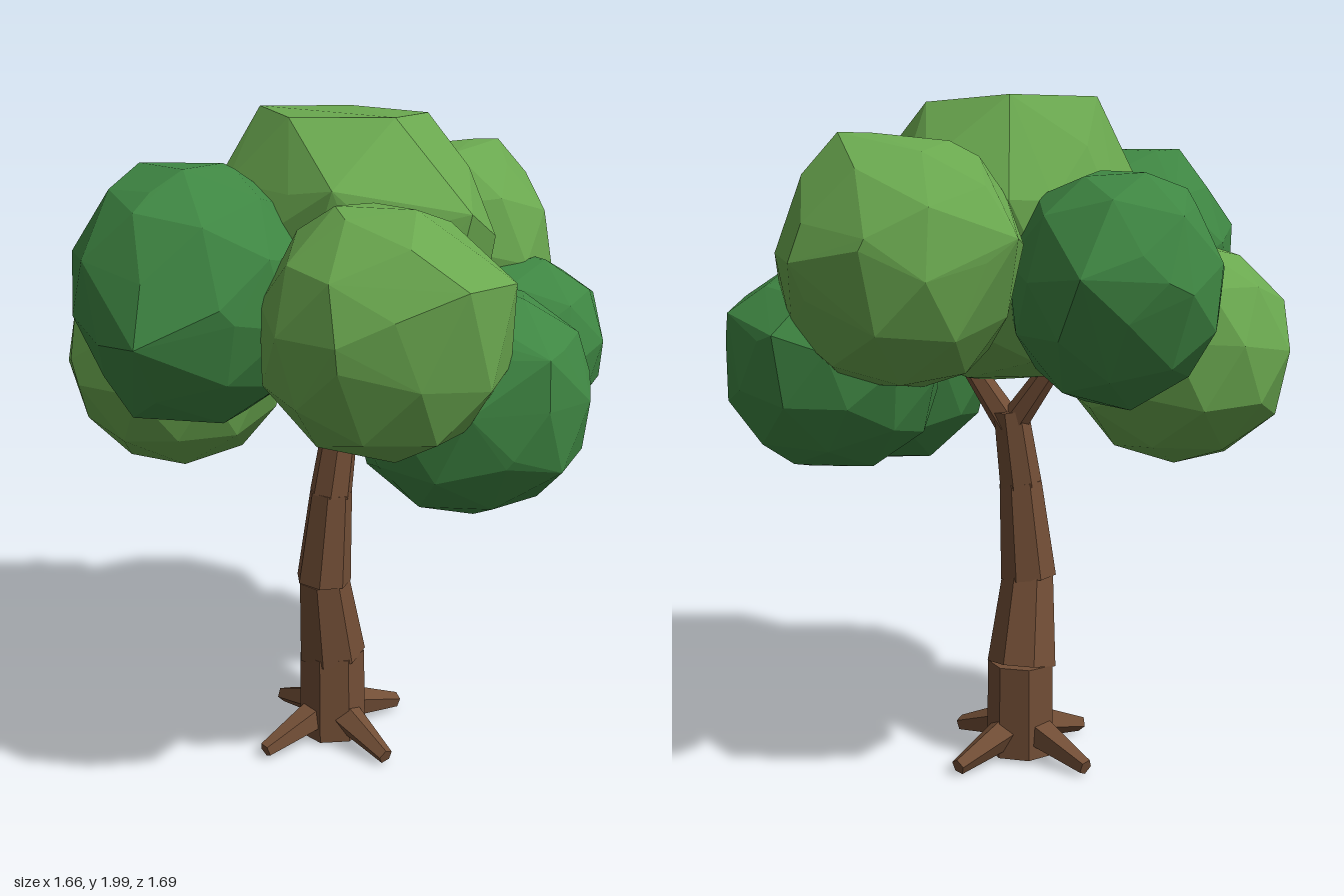
import * as THREE from 'three';
import { mergeVertices } from 'three/addons/utils/BufferGeometryUtils.js';
import { ConvexGeometry } from 'three/addons/geometries/ConvexGeometry.js';

// small seeded random generator
function seeded(seed) {
  let s = seed * 7919 + 17;
  return () => ((s = (s * 16807) % 2147483647) / 2147483647);
}

// faceted leaf clump: hull of a full ellipsoid, trimmed to its half sizes, and a few outer corners
function clump(name, material, centre, half, corners, seed) {
  const rand = seeded(seed);
  for (let i = 0; i < 5; i++) rand();
  const mid = new THREE.Vector3(...centre);
  const size = new THREE.Vector3(...half);
  const low = size.clone().negate();
  const turn = new THREE.Euler(rand() * 6, rand() * 6, rand() * 6);
  const ball = new THREE.IcosahedronGeometry(1, 1);
  ball.deleteAttribute('normal');
  ball.deleteAttribute('uv');
  const pos = mergeVertices(ball, 1e-4).attributes.position;
  const points = corners.map((c) => new THREE.Vector3(...c).sub(mid));
  for (let i = 0; i < pos.count; i++) {
    points.push(new THREE.Vector3().fromBufferAttribute(pos, i)
      .applyEuler(turn).multiply(size).multiplyScalar(1.0 + rand() * 0.06).clamp(low, size));
  }
  const mesh = new THREE.Mesh(new ConvexGeometry(points), material);
  mesh.name = name;
  mesh.position.copy(mid);
  return mesh;
}

// tapered limb between two points
function limb(name, a, b, rA, rB, sides, material, twist = 0) {
  const from = new THREE.Vector3(...a);
  const dir = new THREE.Vector3(...b).sub(from);
  const geo = new THREE.CylinderGeometry(rB, rA, dir.length(), sides);
  geo.rotateY(twist);
  const mesh = new THREE.Mesh(geo, material);
  mesh.name = name;
  mesh.position.copy(from).addScaledVector(dir, 0.5);
  mesh.quaternion.setFromUnitVectors(new THREE.Vector3(0, 1, 0), dir.normalize());
  return mesh;
}

export function createModel() {
  const tree = new THREE.Group();
  tree.name = 'tree';
  const make = (name, color) => {
    const m = new THREE.MeshStandardMaterial({ color, flatShading: true });
    m.name = name;
    return m;
  };
  const bark = make('bark brown', 0x724e36);
  const light = make('light leaf green', 0x6aa84f);
  const dark = make('dark leaf green', 0x3f8743);

  // trunk: stacked tapering sections that bend as they rise
  const trunk = new THREE.Group();
  trunk.name = 'trunk';
  const sections = [
    [[-0.065, 0.015, -0.062], [-0.066, 0.3, -0.062], 0.108, 0.105],
    [[-0.066, 0.295, -0.064], [-0.1, 0.57, -0.026], 0.108, 0.08],
    [[-0.1, 0.56, -0.026], [-0.076, 0.855, -0.018], 0.087, 0.066],
    [[-0.076, 0.845, -0.018], [-0.04, 1.08, -0.025], 0.066, 0.054],
  ];
  sections.forEach(([a, b, rA, rB], i) =>
    trunk.add(limb('trunkSection' + (i + 1), a, b, rA, rB, 7, bark, 0.3 + i * 0.12)));

  // forked branches at the top of the trunk
  trunk.add(limb('branchFront', [-0.04, 1.03, -0.025], [0.07, 1.24, 0.09], 0.045, 0.03, 6, bark));
  trunk.add(limb('branchBack', [-0.04, 1.03, -0.025], [-0.15, 1.24, -0.13], 0.045, 0.03, 6, bark));
  tree.add(trunk);

  // four splayed roots
  const roots = new THREE.Group();
  roots.name = 'roots';
  for (let i = 0; i < 4; i++) {
    const angle = THREE.MathUtils.degToRad(65 + i * 90);
    const at = (r, y) => [-0.065 + Math.cos(angle) * r, y, -0.06 + Math.sin(angle) * r];
    roots.add(limb('root', at(0.05, 0.095), at(0.27, 0.029), 0.055, 0.025, 5, bark));
  }
  tree.add(roots);

  // leaf clumps: centre, half sizes, outer corners
  const foliage = new THREE.Group();
  foliage.name = 'foliage';
  foliage.add(
    clump('topClump', light, [-0.015, 1.58, -0.035], [0.425, 0.42, 0.415], [
      [-0.24, 2, -0.2], [0.06, 1.99, -0.29], [0.24, 1.98, -0.09], [0.06, 1.99, 0.2], [-0.22, 1.99, 0.12],
      [-0.43, 1.75, -0.04], [0.12, 1.7, -0.45], [0.3, 1.8, -0.29], [-0.16, 1.82, 0.38], [0.24, 1.74, 0.34],
    ], 3),
    clump('frontClump', light, [-0.05, 1.465, 0.505], [0.33, 0.335, 0.33], [
      [0.07, 1.63, 0.84], [-0.25, 1.5, 0.79], [0.24, 1.62, 0.7], [-0.18, 1.8, 0.5],
    ], 4),
    clump('rightClump', dark, [-0.49, 1.525, 0.145], [0.34, 0.35, 0.345], [
      [-0.62, 1.87, 0.03], [-0.62, 1.82, 0.28], [-0.4, 1.87, 0.1],
      [-0.7, 1.45, 0.48], [-0.44, 1.5, 0.48], [-0.68, 1.18, 0.15], [-0.36, 1.18, 0.15],
    ], 5),
    clump('lowerRightClump', light, [-0.5, 1.265, -0.22], [0.33, 0.335, 0.34], [
      [-0.83, 1.29, -0.13], [-0.67, 1.3, -0.48], [-0.49, 0.925, -0.23],
    ], 6),
    clump('backClump', dark, [-0.16, 1.465, -0.52], [0.285, 0.32, 0.325], [
      [-0.16, 1.49, -0.85], [0.06, 1.5, -0.8], [-0.43, 1.52, -0.63],
      [-0.32, 1.73, -0.62], [-0.05, 1.74, -0.58],
    ], 7),
    clump('backLeftClump', light, [0.405, 1.53, -0.375], [0.325, 0.34, 0.335], [
      [0.57, 1.87, -0.4], [0.22, 1.81, -0.5], [0.17, 1.6, -0.66], [0.57, 1.6, -0.66],
      [0.73, 1.54, -0.52],
    ], 8),
    clump('leftClump', dark, [0.53, 1.25, -0.15], [0.3, 0.29, 0.305], [
      [0.83, 1.4, -0.18], [0.75, 1.35, -0.38], [0.66, 0.98, -0.2],
    ], 9),
    clump('frontLeftClump', dark, [0.25, 1.225, 0.34], [0.345, 0.335, 0.31], [
      [0.57, 1.3, 0.42], [0.36, 1.4, 0.645], [0.27, 1.13, 0.64], [0.46, 1.48, 0.1],
    ], 10),
  );
  tree.add(foliage);
  return tree;
}
